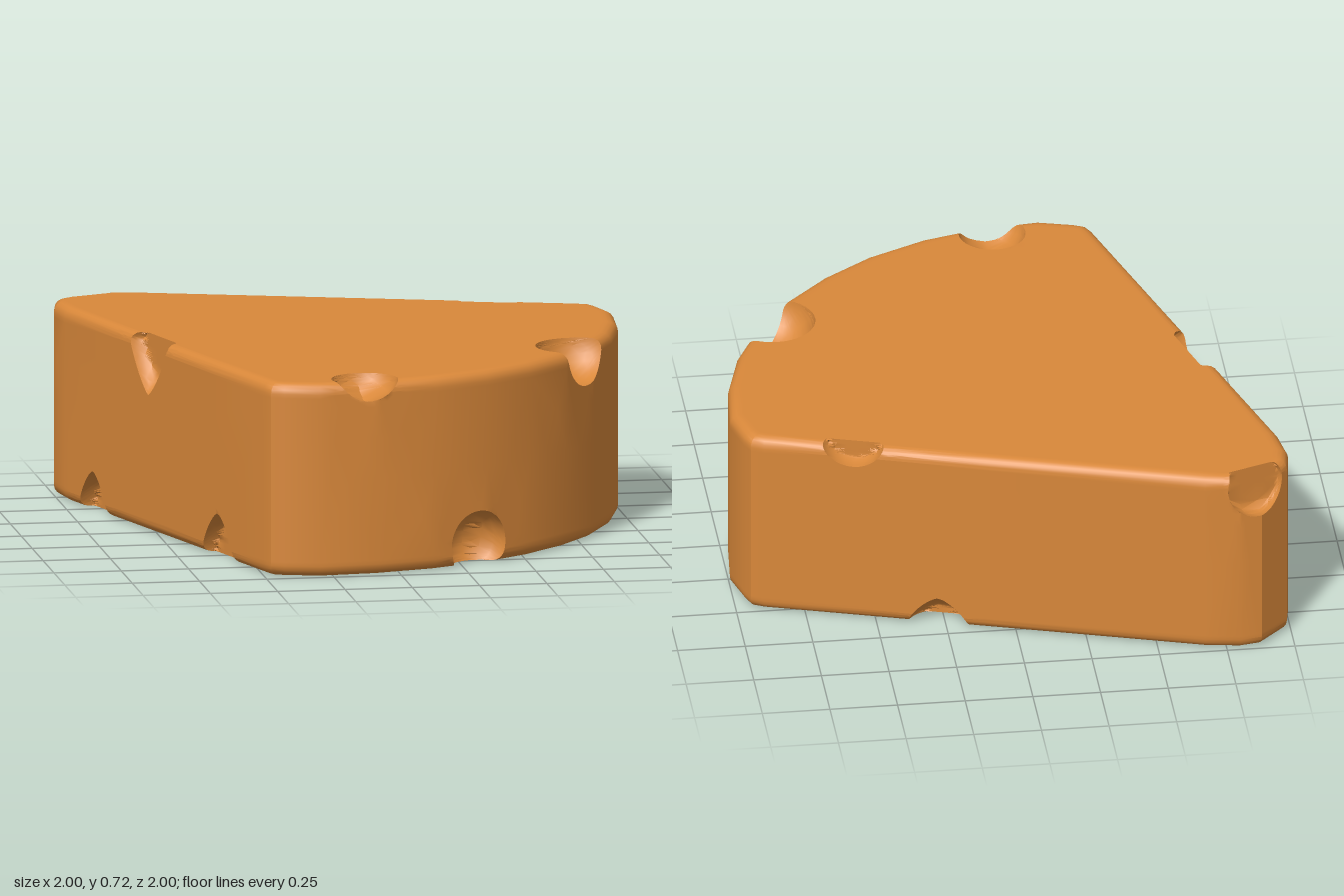
import * as THREE from 'three';
import { toCreasedNormals } from 'three/addons/utils/BufferGeometryUtils.js';

const H = 0.72, BEVEL = 0.04;
const V = (x, y, z) => new THREE.Vector3(x, y, z);

// Plan outline: one half from the tip to the middle of the curved rind, mirrored across x = z.
function outline() {
  const half = [[-0.88, -0.985], [-0.8, -1], [-0.67, -0.98], [0.9, -0.497], [0.945, -0.475], [0.965, -0.43],
    [1, -0.3], [0.98, -0.08], [0.92, 0.14], [0.82, 0.35], [0.69, 0.53]];
  return [...half, ...half.map(([x, z]) => [z, x]).reverse()].map(([x, z]) => new THREE.Vector2(x, z));
}

// Mitred inward offset of the outline
function inset(pts, d) {
  const n = pts.length;
  return pts.map((p, i) => {
    const a = p.clone().sub(pts[(i + n - 1) % n]).normalize();
    const b = pts[(i + 1) % n].clone().sub(p).normalize();
    const m = new THREE.Vector2(-a.y - b.y, a.x + b.x).normalize();
    return p.clone().addScaledVector(m, d / (m.x * -a.y + m.y * a.x));
  });
}

// Solid wedge with rounded rims, as a list of triangles
function wedge() {
  const low = [[BEVEL + 0.015, 0]];
  for (let i = 0; i <= 4; i++) {
    const t = i * Math.PI / 8;
    low.push([BEVEL * (1 - Math.sin(t)), BEVEL * (1 - Math.cos(t))]);
  }
  low.push([0, BEVEL + 0.015]);
  const profile = [...low, ...low.map(([d, y]) => [d, H - y]).reverse()];
  const pts = outline(), n = pts.length, tris = [];
  const rings = profile.map(([d, y]) => inset(pts, d).map(p => V(p.x, y, p.y)));
  const last = rings.length - 1;
  for (let i = 0; i < n; i++) {
    const j = (i + 1) % n;
    for (let k = 0; k < last; k++) {
      const a = rings[k], b = rings[k + 1];
      tris.push([a[i], b[i], b[j]], [a[i], b[j], a[j]]);
    }
    tris.push([V(0, 0, 0), rings[0][i], rings[0][j]], [V(0, H, 0), rings[last][j], rings[last][i]]);
  }
  return tris;
}

// Split edges that come near a hole until they are short
function refine(tri, c, reach, out) {
  let best = -1, longest = 0.03;
  for (let i = 0; i < 3; i++) {
    const a = tri[i], b = tri[(i + 1) % 3], len = a.distanceTo(b);
    if (len > longest && a.clone().add(b).multiplyScalar(0.5).distanceTo(c) < reach + len / 2) {
      best = i;
      longest = len;
    }
  }
  if (best < 0) { out.push(tri); return; }
  const a = tri[best], b = tri[(best + 1) % 3], o = tri[(best + 2) % 3];
  const m = a.clone().add(b).multiplyScalar(0.5);
  refine([a, m, o], c, reach, out);
  refine([m, b, o], c, reach, out);
}

// Cut a convex hollow: the surface inside it is pushed out from a point q onto the hollow's wall
function carve(tris, { c, n, r, ry = r, e = 2, depth = 9 }) {
  const centre = V(...c), out = V(n[0], 0, n[1]).normalize();
  const f = p => {
    const d = p.clone().sub(centre);
    const round = Math.pow(Math.hypot(d.x, d.z) / r, e) + Math.pow(Math.abs(d.y) / ry, e) - 1;
    return Math.max(round, (-d.dot(out) - depth) / r);
  };
  const q = centre.clone().addScaledVector(out, 0.55 * r);
  q.y = c[1] > H / 2 ? H + 0.02 : -0.02;
  const cross = (inside, outside) => {
    let lo = 0, hi = 1;
    for (let i = 0; i < 24; i++) {
      const t = (lo + hi) / 2;
      if (f(inside.clone().lerp(outside, t)) < 0) lo = t; else hi = t;
    }
    return inside.clone().lerp(outside, hi);
  };
  const push = p => {
    const far = p.clone().sub(q).normalize().multiplyScalar(1).add(q);
    return cross(p, far);
  };

  const fine = [], result = [];
  for (const t of tris) refine(t, centre, Math.max(r, ry), fine);
  for (const t of fine) {
    const s = t.map(p => f(p) < 0), count = s.filter(Boolean).length;
    if (count === 0) result.push(t);
    else if (count === 3) result.push(t.map(push));
    else {
      // Rotate so the odd corner comes first, then split along the rim
      const k = s.indexOf(count === 1);
      const a = t[k], b = t[(k + 1) % 3], d = t[(k + 2) % 3];
      const ab = count === 1 ? cross(a, b) : cross(b, a);
      const ad = count === 1 ? cross(a, d) : cross(d, a);
      if (count === 1) {
        result.push([push(a), ab, ad], [ab, b, d], [ab, d, ad]);
      } else {
        const pb = push(b), pd = push(d);
        result.push([a, ab, ad], [ab, pb, pd], [ab, pd, ad]);
      }
    }
  }
  return result;
}

// c centre, n outward direction in plan, r plan radius, ry height radius, e pointedness, depth flat back
const LEFT = [-0.958, 0.287], BACK = [0.294, -0.956];
const HOLES = [
  // Curved rind
  { c: [0.76, 0.73, 0.375], n: [0.81, 0.585], r: 0.16 },
  { c: [-0.122, 0.755, 0.915], n: [0.2, 0.98], r: 0.128 },
  { c: [0.32, 0.075, 0.838], n: [0.5, 0.86], r: 0.126 },
  // Tip
  { c: [-0.86, 0.66, -0.95], n: [-0.34, -0.94], r: 0.115, depth: 0.036 },
  // Cut side at -x
  { c: [-0.78, 0.7, -0.01], n: LEFT, r: 0.15, ry: 0.19, e: 1.25, depth: 0.06 },
  { c: [-0.912, 0, -0.45], n: LEFT, r: 0.115, ry: 0.15, e: 1.4, depth: 0.06 },
  { c: [-0.615, 0, 0.54], n: LEFT, r: 0.13, ry: 0.165, e: 1.4, depth: 0.06 },
  // Cut side at -z
  { c: [0.585, 0.765, -0.594], n: BACK, r: 0.125, depth: 0.055 },
  { c: [0.28, 0, -0.687], n: BACK, r: 0.115, ry: 0.115, e: 1.4, depth: 0.1 },
  // Dimples underneath
  { c: [-0.17, -0.035, 0.3], n: [0, 0], r: 0.08 },
  { c: [0.73, -0.035, 0.09], n: [0, 0], r: 0.055 },
];

export function createModel() {
  const tris = HOLES.reduce(carve, wedge());
  const pos = [];
  for (const [a, b, c] of tris) {
    const area = b.clone().sub(a).cross(c.clone().sub(a)).length();
    if (area > 1e-9) for (const p of [a, b, c]) pos.push(p.x, p.y, p.z);
  }
  const geo = new THREE.BufferGeometry();
  geo.setAttribute('position', new THREE.Float32BufferAttribute(pos, 3));
  const mesh = new THREE.Mesh(toCreasedNormals(geo, 0.6), new THREE.MeshStandardMaterial({ color: 0xd9883a }));
  mesh.name = 'cheeseWedge';
  const group = new THREE.Group();
  group.name = 'cheese';
  group.add(mesh);
  return group;
}
